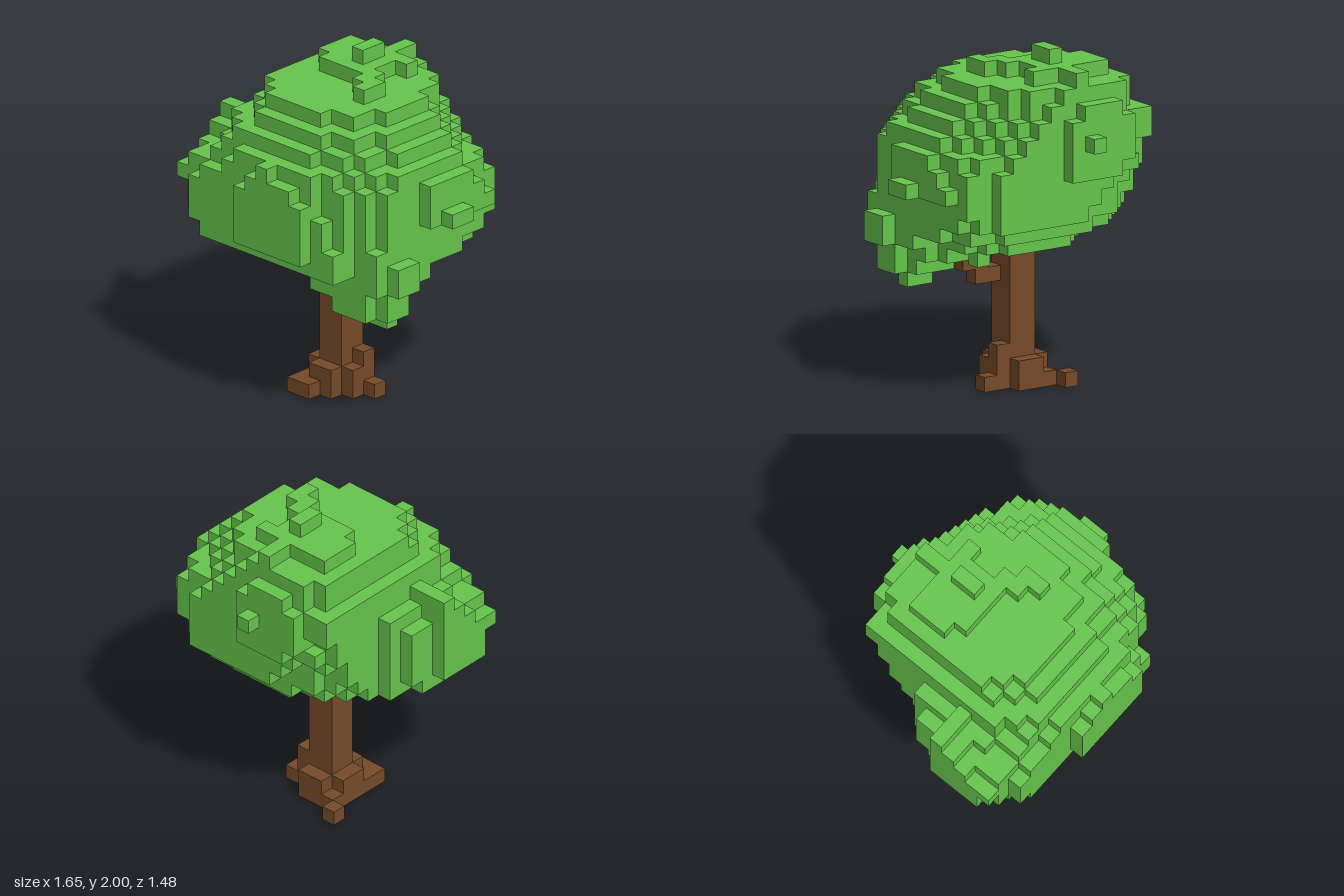
import * as THREE from 'three';

const S = 2 / 23; // edge of one cube; the tree fills a 19 x 23 x 17 grid
const key = (i, j, k) => `${i},${j},${k}`;

// Fill a box of cells: x0..x1, y0..y1, z0..z1 inclusive
function fill(set, x0, x1, y0, y1, z0, z1) {
  for (let i = x0; i <= x1; i++)
    for (let j = y0; j <= y1; j++)
      for (let k = z0; k <= z1; k++) set.add(key(i, j, k));
}

// Allowed x range of the rounded layers for each z row, back to front
const PLAN = [
  [8, 8], [5, 9], [3, 14], [3, 16], [3, 17], [3, 17], [3, 17], [2, 17], [1, 17],
  [1, 17], [0, 16], [0, 16], [0, 16], [0, 16], [0, 14], [2, 14],
];

// Crown layers: y, x0, x1, z0, z1, then corner radii: back -x, back +x, front -x, front +x
const LAYERS = [
  [10, 4, 14, 4, 13, 7, 4, 3, 3],
  [11, 1, 16, 3, 15, 9, 5, 4, 4],
  [12, 0, 16, 2, 15, 11, 4, 4, 4],
  [13, 0, 16, 2, 15, 10, 3, 4, 5],
  [14, 0, 17, 2, 15, 9, 3, 4, 7],
  [15, 0, 17, 2, 15, 7, 5, 5, 8],
  [16, 2, 17, 2, 15, 5, 6, 5, 8],
  [17, 3, 16, 2, 15, 1, 7, 5, 7],
  [18, 3, 15, 2, 14, 1, 7, 4, 6],
  [19, 4, 14, 2, 13, 2, 7, 4, 5],
  [20, 4, 13, 2, 12, 2, 6, 4, 5],
];

// True when a cell lies outside a rounded corner; u and v run inwards from the two sides
function cutOff(u, v, r) {
  return u < r && v < r && Math.hypot(r - u, r - v) > r;
}

function crownCells() {
  const set = new Set();
  for (const [j, x0, x1, z0, z1, backA, backB, frontA, frontB] of LAYERS)
    for (let k = z0; k <= z1; k++)
      for (let i = Math.max(x0, PLAN[k][0]); i <= Math.min(x1, PLAN[k][1]); i++) {
        const a = i - x0 + 0.5, b = x1 - i + 0.5;
        const back = k - z0 + 0.5, front = z1 - k + 0.5;
        if (cutOff(a, back, backA) || cutOff(b, back, backB)) continue;
        if (cutOff(a, front, frontA) || cutOff(b, front, frontB)) continue;
        set.add(key(i, j, k));
      }
  // uneven top
  fill(set, 5, 9, 21, 21, 4, 6);
  fill(set, 6, 9, 21, 21, 7, 7);
  fill(set, 8, 8, 21, 21, 2, 3);
  fill(set, 10, 10, 21, 21, 4, 4);
  fill(set, 10, 10, 21, 21, 7, 8);
  fill(set, 11, 11, 21, 21, 8, 9);
  fill(set, 8, 8, 22, 22, 5, 6);
  // side lobe
  fill(set, 0, 0, 12, 15, 11, 12);
  fill(set, 0, 0, 14, 14, 13, 14);
  fill(set, 0, 2, 16, 16, 10, 11);
  fill(set, 0, 2, 17, 17, 10, 10);
  // front bulge
  fill(set, 7, 12, 12, 15, 16, 16);
  fill(set, 8, 11, 16, 16, 16, 16);
  fill(set, 9, 9, 17, 17, 16, 16);
  // back bulge
  fill(set, 6, 9, 15, 18, 1, 1);
  fill(set, 5, 5, 16, 18, 1, 1);
  fill(set, 6, 8, 19, 19, 1, 1);
  // low lobe over the branch
  fill(set, 12, 17, 10, 11, 11, 12);
  fill(set, 12, 16, 10, 11, 9, 13);
  fill(set, 11, 15, 9, 9, 9, 13);
  fill(set, 12, 14, 9, 9, 8, 8);
  fill(set, 16, 16, 8, 9, 11, 12);
  fill(set, 13, 15, 8, 8, 10, 13);
  fill(set, 14, 15, 7, 7, 11, 11);
  // single leaf tufts
  fill(set, 8, 8, 17, 17, 0, 0);
  fill(set, 18, 18, 14, 14, 7, 8);
  fill(set, 13, 13, 9, 9, 6, 6);
  return set;
}

function trunkCells() {
  const set = new Set();
  fill(set, 8, 9, 0, 10, 8, 9);
  // flared foot
  fill(set, 7, 10, 0, 1, 8, 9);
  fill(set, 8, 9, 0, 1, 7, 10);
  fill(set, 10, 10, 2, 2, 8, 8);
  // roots
  fill(set, 7, 7, 0, 0, 10, 10);
  fill(set, 7, 8, 0, 0, 11, 11);
  fill(set, 11, 11, 0, 0, 8, 8);
  fill(set, 7, 7, 0, 0, 7, 7);
  fill(set, 6, 6, 0, 0, 6, 6);
  return set;
}

function branchCells() {
  const set = new Set();
  fill(set, 10, 11, 7, 7, 9, 9);
  fill(set, 11, 12, 8, 8, 9, 9);
  return set;
}

// Skin of a cell set: only faces that no other cell covers
function skin(set, all) {
  const pos = [], nor = [];
  for (const c of set) {
    const cell = c.split(',').map(Number);
    for (let a = 0; a < 3; a++)
      for (const s of [1, -1]) {
        const next = [...cell];
        next[a] += s;
        if (all.has(key(...next))) continue;
        const u = (a + 1) % 3, v = (a + 2) % 3;
        const n = [0, 0, 0];
        n[a] = s;
        const quad = [[0, 0], [1, 0], [1, 1], [0, 1]].map(([p, q]) => {
          const w = [...cell];
          w[a] += s > 0 ? 1 : 0;
          w[u] += p;
          w[v] += q;
          return [(w[0] - 9.5) * S, w[1] * S, (w[2] - 8.5) * S];
        });
        const order = s > 0 ? [0, 1, 2, 0, 2, 3] : [0, 2, 1, 0, 3, 2];
        for (const o of order) {
          pos.push(...quad[o]);
          nor.push(...n);
        }
      }
  }
  const g = new THREE.BufferGeometry();
  g.setAttribute('position', new THREE.Float32BufferAttribute(pos, 3));
  g.setAttribute('normal', new THREE.Float32BufferAttribute(nor, 3));
  return g;
}

export function createModel() {
  const leaf = new THREE.MeshStandardMaterial({ color: 0x66c64c });
  leaf.name = 'leafGreen';
  const bark = new THREE.MeshStandardMaterial({ color: 0x774b29 });
  bark.name = 'barkBrown';

  const parts = [
    ['crown', crownCells(), leaf],
    ['trunk', trunkCells(), bark],
    ['branch', branchCells(), bark],
  ];
  const all = new Set(parts.flatMap(([, set]) => [...set]));

  const tree = new THREE.Group();
  tree.name = 'tree';
  for (const [name, set, material] of parts) {
    const mesh = new THREE.Mesh(skin(set, all), material);
    mesh.name = name;
    tree.add(mesh);
  }
  return tree;
}
